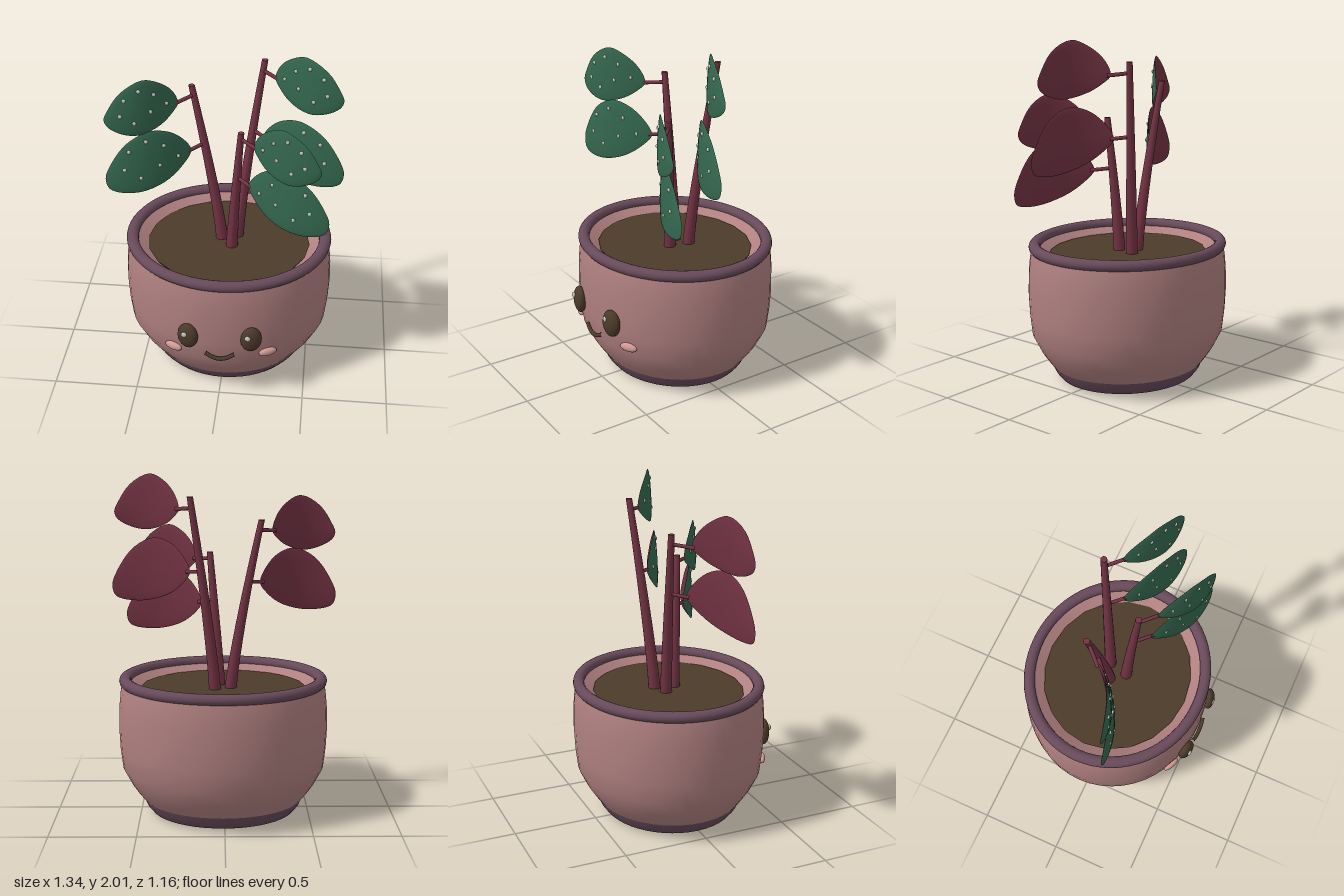
import * as THREE from 'three';

const mat = (name, color, side = THREE.FrontSide) => {
  const m = new THREE.MeshStandardMaterial({ color, side });
  m.name = name;
  return m;
};

export function createModel() {
  const model = new THREE.Group();
  model.name = 'pottedPlant';
  const clay = mat('pink clay', 0xb08080, THREE.DoubleSide);
  const trim = mat('plum trim', 0x684a5a, THREE.DoubleSide);
  const brown = mat('dark brown', 0x4c3b2a);
  const maroon = mat('maroon stem', 0x733344);
  const green = mat('leaf green', 0x34684f);
  const cream = mat('pale spot', 0xc4ccba);
  const blush = mat('blush', 0xd29a94);

  const add = (parent, name, geometry, material, x = 0, y = 0, z = 0) => {
    const mesh = new THREE.Mesh(geometry, material);
    mesh.name = name;
    mesh.position.set(x, y, z);
    parent.add(mesh);
    return mesh;
  };
  const lathe = (pts, n = 48) =>
    new THREE.LatheGeometry(pts.map(([r, y]) => new THREE.Vector2(r, y)), n);

  // Oval pot
  const pot = new THREE.Group();
  pot.name = 'pot';
  pot.position.set(0.008, 0, -0.017);
  pot.scale.z = 0.912;
  model.add(pot);
  add(pot, 'potWall', lathe([[0.48, 0.09], [0.515, 0.135], [0.55, 0.185], [0.6, 0.28], [0.614, 0.4],
    [0.62, 0.52], [0.617, 0.65], [0.608, 0.74], [0.595, 0.8]]), clay);
  add(pot, 'innerWall', lathe([[0.56, 0.8], [0.535, 0.785], [0.47, 0.74]]), clay);
  add(pot, 'potFoot', lathe([[0.13, 0.1], [0.132, 0.06], [0.155, 0.03], [0.2, 0.008], [0.26, 0], [0.38, 0],
    [0.43, 0.014], [0.46, 0.05], [0.48, 0.095]]), trim);
  add(pot, 'potUnderside', new THREE.CircleGeometry(0.47, 48).rotateX(Math.PI / 2), clay, 0, 0.095, 0);
  add(pot, 'rim', new THREE.TorusGeometry(0.579, 0.036, 14, 64).rotateX(Math.PI / 2).scale(1, 0.9, 1),
    trim, 0, 0.803, 0);
  add(pot, 'soil', new THREE.CylinderGeometry(0.487, 0.46, 0.04, 20), brown, 0, 0.74, 0);

  // Face
  const face = new THREE.Group();
  face.name = 'face';
  model.add(face);
  const blob = (name, material, pos, size, turn = 0) => {
    const m = add(face, name, new THREE.SphereGeometry(1, 20, 14), material, ...pos);
    m.scale.set(...size);
    m.rotation.y = turn;
  };
  for (const s of [-1, 1]) {
    const side = s > 0 ? 'left' : 'right';
    blob(side + 'Eye', brown, [0.008 + s * 0.184, 0.457, 0.537], [0.062, 0.083, 0.036], s * 0.25);
    blob(side + 'EyeGlint', cream, [-0.01 + s * 0.184, 0.485, 0.568], [0.017, 0.017, 0.01]);
    blob(side + 'Cheek', blush, [0.008 + s * 0.278, 0.328, 0.482], [0.056, 0.026, 0.02], s * 0.45);
  }
  const smile = new THREE.CatmullRomCurve3([[-0.075, 0.343, 0.545], [-0.035, 0.322, 0.553], [0.01, 0.312, 0.555],
    [0.055, 0.322, 0.553], [0.095, 0.343, 0.545]].map(p => new THREE.Vector3(...p)));
  add(face, 'mouth', new THREE.TubeGeometry(smile, 12, 0.012, 8), brown);

  // Stems: tapered cylinders sheared along a gentle curve
  const stems = {
    right: [[-0.035, 0.74, -0.05], [-0.212, 1.75, -0.093]],
    left: [[0.055, 0.74, -0.085], [0.195, 1.885, -0.18]],
    middle: [[0.03, 0.74, 0.03], [0.085, 1.55, 0.075]],
  };
  const stemPoint = ([a, b], y) => {
    const t = Math.pow(Math.max(0, (y - a[1]) / (b[1] - a[1])), 1.2);
    return new THREE.Vector3(a[0] + (b[0] - a[0]) * t, y, a[2] + (b[2] - a[2]) * t);
  };
  for (const [name, ends] of Object.entries(stems)) {
    const h = ends[1][1] - ends[0][1];
    const g = new THREE.CylinderGeometry(0.018, 0.036, h, 14, 10).translate(0, ends[0][1] + h / 2, 0);
    const p = g.attributes.position;
    for (let i = 0; i < p.count; i++) {
      const c = stemPoint(ends, p.getY(i));
      p.setXYZ(i, p.getX(i) + c.x, p.getY(i), p.getZ(i) + c.z);
    }
    g.computeVertexNormals();
    add(model, name + 'Stem', g, maroon);
  }

  // Leaf outlines: distance from the leaf base, height; as fractions of leaf length
  const outlines = {
    large: [[0, 0], [0.09, 0.2], [0.25, 0.35], [0.46, 0.4], [0.73, 0.26], [0.95, -0.06], [1, -0.22],
      [0.95, -0.36], [0.62, -0.41], [0.28, -0.31], [0.08, -0.14]],
    small: [[0, 0], [0.08, 0.25], [0.25, 0.43], [0.45, 0.51], [0.75, 0.35], [0.95, 0.06], [1, -0.07],
      [0.95, -0.18], [0.75, -0.29], [0.5, -0.33], [0.22, -0.24], [0.06, -0.1]],
  };
  const spots = [[0.5, 0.28], [0.3, 0.19], [0.7, 0.16], [0.35, -0.06], [0.76, -0.08], [0.57, -0.2], [0.14, 0]];
  const SEG = 48, RINGS = 7;

  // Height of the curved leaf blade in z
  const bladeZ = (u, v, len) =>
    0.19 * (1 - Math.pow(Math.max(0, 1 - u), 2.4)) - 0.05 * v * len;

  // One face of the blade: rings from the middle to the outline, domed by dz
  const bladeFace = (shape, len, s, dz) => {
    const curve = new THREE.CatmullRomCurve3(outlines[shape].map(([x, y]) => new THREE.Vector3(x, y, 0)), true);
    const rim = curve.getPoints(SEG).slice(0, SEG);
    const cx = 0.52, cy = shape === 'large' ? -0.01 : 0.08;
    const pos = [], idx = [];
    const put = (u, v, r) =>
      pos.push(s * u * len, v * len, bladeZ(u, v, len) + dz * Math.sqrt(Math.max(0, 1 - r * r)));
    put(cx, cy, 0);
    const tri = (a, b, c) => (s * dz > 0 ? idx.push(a, c, b) : idx.push(a, b, c));
    for (let k = 1; k <= RINGS; k++) {
      const r = Math.sin((k / RINGS) * Math.PI / 2);
      rim.forEach((p, j) => {
        put(cx + (p.x - cx) * r, cy + (p.y - cy) * r, r);
        const n = (j + 1) % SEG, o = 1 + (k - 1) * SEG, q = o - SEG;
        if (k === 1) tri(0, o + j, o + n);
        else {
          tri(q + j, o + j, o + n);
          tri(q + j, o + n, q + n);
        }
      });
    }
    const g = new THREE.BufferGeometry();
    g.setAttribute('position', new THREE.Float32BufferAttribute(pos, 3));
    g.setIndex(idx);
    g.computeVertexNormals();
    return g;
  };

  // Leaves: stem, outline, side, base position, length
  const leaves = [
    ['right', 'small', -1, [-0.278, 1.68, 0], 0.386],
    ['right', 'large', -1, [-0.208, 1.38, 0], 0.466],
    ['left', 'small', 1, [0.26, 1.81, -0.1], 0.385],
    ['left', 'large', 1, [0.2, 1.447, -0.07], 0.468],
    ['middle', 'small', 1, [0.165, 1.5, 0.155], 0.38],
    ['middle', 'large', 1, [0.135, 1.24, 0.135], 0.466],
  ];
  for (const [stem, shape, s, base, len] of leaves) {
    const leaf = new THREE.Group();
    leaf.name = stem + (shape === 'small' ? 'UpperLeaf' : 'LowerLeaf');
    leaf.position.set(...base);
    model.add(leaf);
    add(leaf, 'leafTop', bladeFace(shape, len, s, 0.014), green);
    add(leaf, 'leafUnderside', bladeFace(shape, len, s, -0.012), maroon);
    const start = stemPoint(stems[stem], base[1] + 0.012).sub(leaf.position);
    const path = new THREE.LineCurve3(start, new THREE.Vector3(s * 0.02, 0, 0.012));
    add(leaf, 'leafStalk', new THREE.TubeGeometry(path, 1, 0.011, 8), maroon);
    for (const [u, y] of spots) {
      const v = y + (shape === 'small' ? 0.08 : 0);
      const dot = add(leaf, 'spot', new THREE.SphereGeometry(0.012, 8, 6), cream,
        s * u * len, v * len, bladeZ(u, v, len) + 0.011);
      dot.scale.z = 0.6;
    }
  }
  return model;
}
